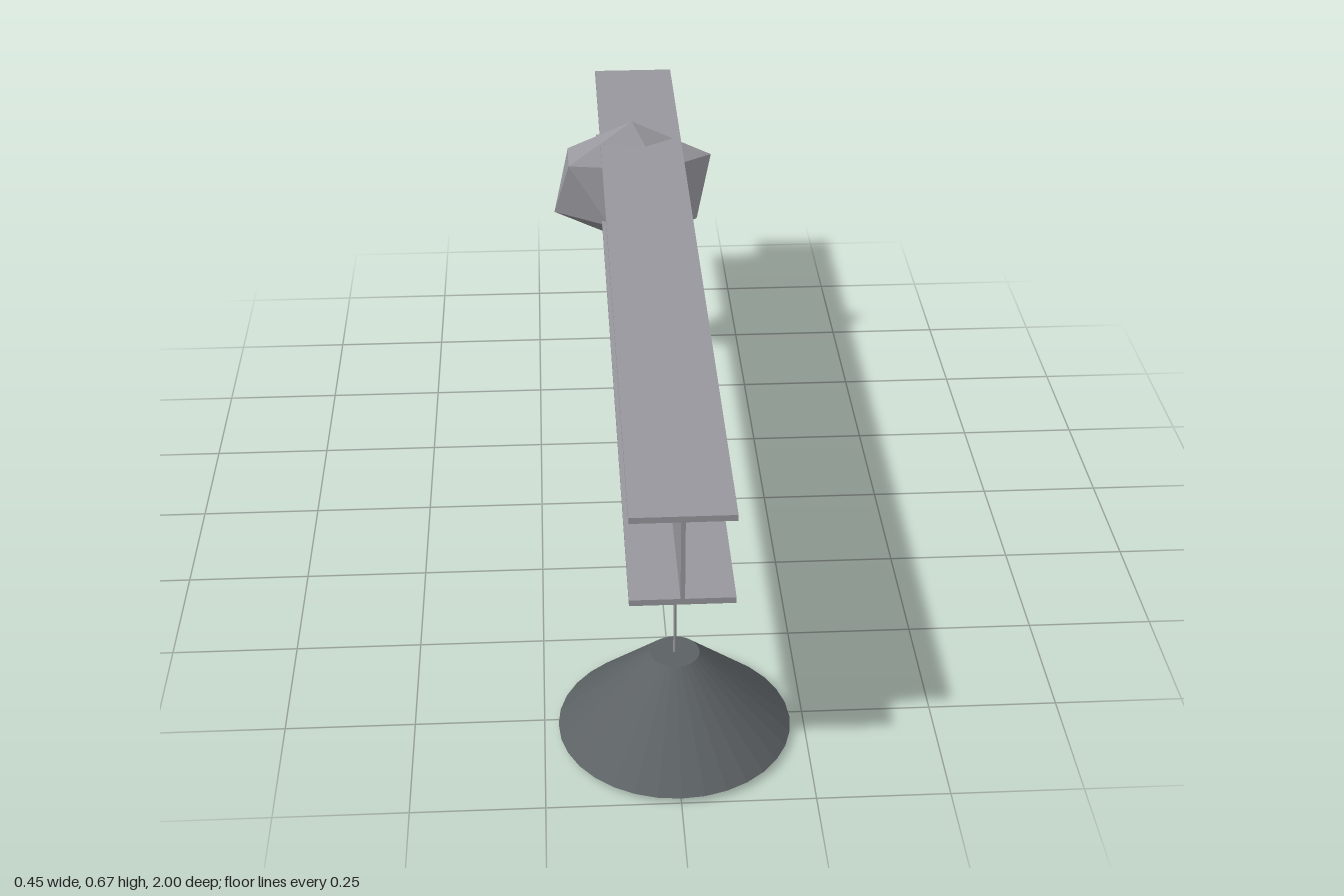
import * as THREE from 'three';
import { ConvexGeometry } from 'three/addons/geometries/ConvexGeometry.js';

const material = (name, color, flatShading = false) => {
  const m = new THREE.MeshStandardMaterial({ color, flatShading });
  m.name = name;
  return m;
};

export function createModel() {
  const model = new THREE.Group();
  model.name = 'beamWithHangingLamp';
  const steel = material('steel grey', 0x98989e);
  const dark = material('dark shade grey', 0x5c6164, true);
  const cream = material('warm cream', 0xd9c9ae);

  const add = (name, geometry, mat, x, y, z, parent = model) => {
    const mesh = new THREE.Mesh(geometry, mat);
    mesh.name = name;
    mesh.position.set(x, y, z);
    parent.add(mesh);
    return mesh;
  };

  // I-beam: two flanges joined by a thin web
  const beam = new THREE.Group();
  beam.name = 'beam';
  model.add(beam);
  const length = 1.985, midZ = -0.0075;
  add('topFlange', new THREE.BoxGeometry(0.188, 0.012, length), steel, 0, 0.621, midZ, beam);
  add('bottomFlange', new THREE.BoxGeometry(0.188, 0.012, length), steel, 0, 0.448, midZ, beam);
  add('web', new THREE.BoxGeometry(0.008, 0.161, length), steel, 0, 0.5345, midZ, beam);

  // Flattened icosahedron with its poles on the y axis
  const points = [new THREE.Vector3(0, 0.1575, 0), new THREE.Vector3(0, -0.1575, 0)];
  for (let i = 0; i < 5; i++) {
    const a = (i * Math.PI * 2) / 5;
    const x = 0.185 * Math.cos(a), z = 0.0873 * Math.sin(a);
    points.push(new THREE.Vector3(x, 0.0705, z), new THREE.Vector3(-x, -0.0705, -z));
  }
  add('rock', new ConvexGeometry(points), steel, -0.02, 0.5145, -0.579);

  // Hanging lamp
  const lamp = new THREE.Group();
  lamp.name = 'lamp';
  lamp.position.z = 0.777;
  model.add(lamp);
  add('mount', new THREE.BoxGeometry(0.025, 0.038, 0.025), steel, 0, 0.423, 0, lamp);
  add('cord', new THREE.CylinderGeometry(0.003, 0.003, 0.24, 8), steel, 0, 0.292, 0, lamp);
  add('shade', new THREE.CylinderGeometry(0.047, 0.223, 0.167, 32), dark, 0, 0.0945, 0, lamp);
  add('diffuser', new THREE.CylinderGeometry(0.187, 0.187, 0.012, 32), cream, 0, 0.006, 0, lamp);

  return model;
}
